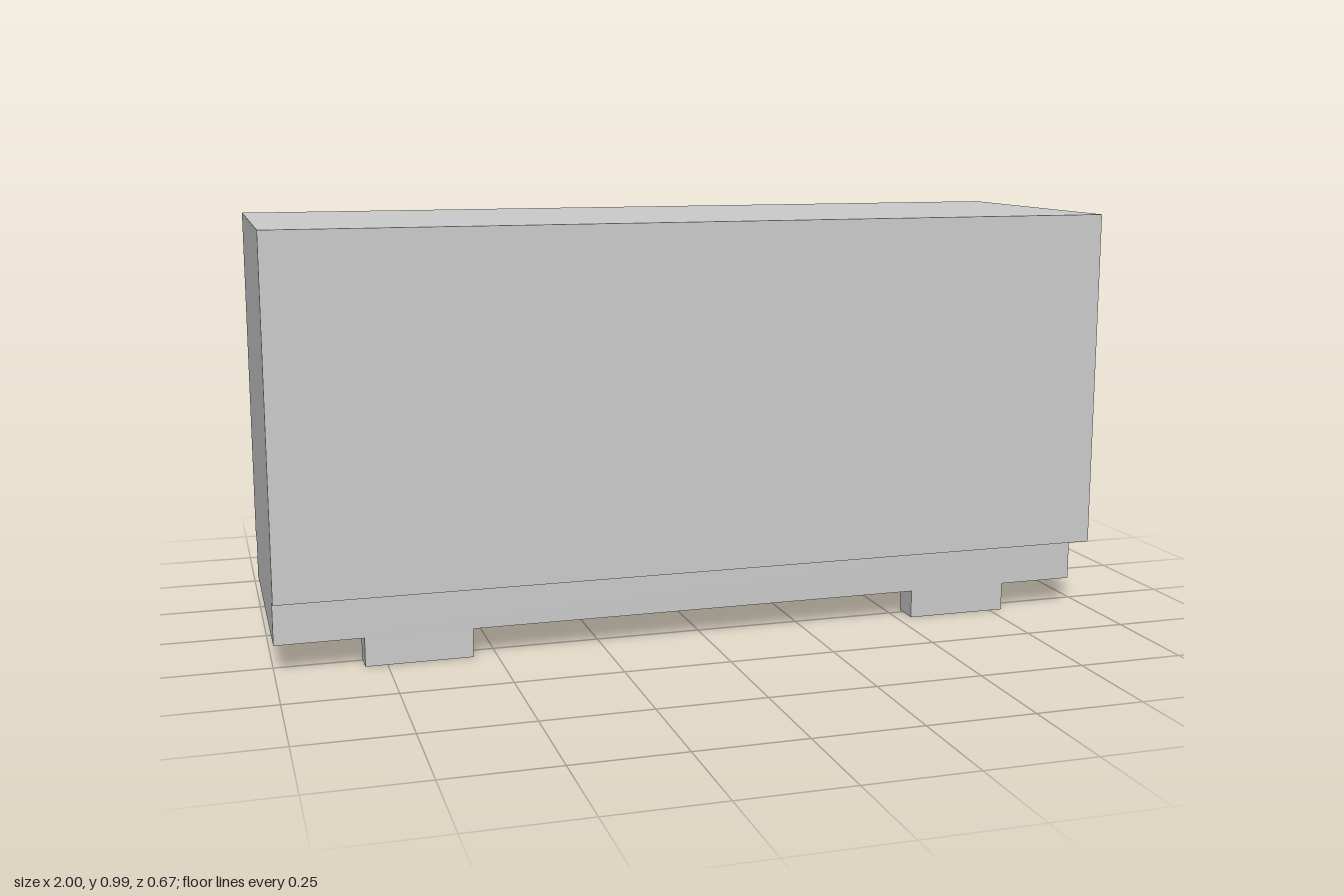
import * as THREE from 'three';

const material = new THREE.MeshStandardMaterial({ color: 0xcccccc, flatShading: true });

// Box given by its lower and upper corners
function block(name, [x0, y0, z0], [x1, y1, z1]) {
  const geometry = new THREE.BoxGeometry(x1 - x0, y1 - y0, z1 - z0);
  const mesh = new THREE.Mesh(geometry, material);
  mesh.position.set((x0 + x1) / 2, (y0 + y1) / 2, (z0 + z1) / 2);
  mesh.name = name;
  return mesh;
}

export function createModel() {
  const model = new THREE.Group();
  model.name = 'container';

  const footTop = 0.067, baseTop = 0.168, top = 0.985;

  // Main body
  model.add(block('body', [-1, baseTop, -0.333], [1, top, 0.333]));

  // Recessed base, flush with the body at the -x end
  model.add(block('base', [-1, footTop, -0.3], [0.966, baseTop, 0.3]));

  // Four feet along the long edges of the base
  for (const [end, x] of [['right', -0.8], ['left', 0.536]]) {
    for (const [side, z] of [['front', 0.234], ['back', -0.3]]) {
      model.add(block(`${side}Foot_${end}`, [x, 0, z], [x + 0.246, footTop, z + 0.066]));
    }
  }

  return model;
}
